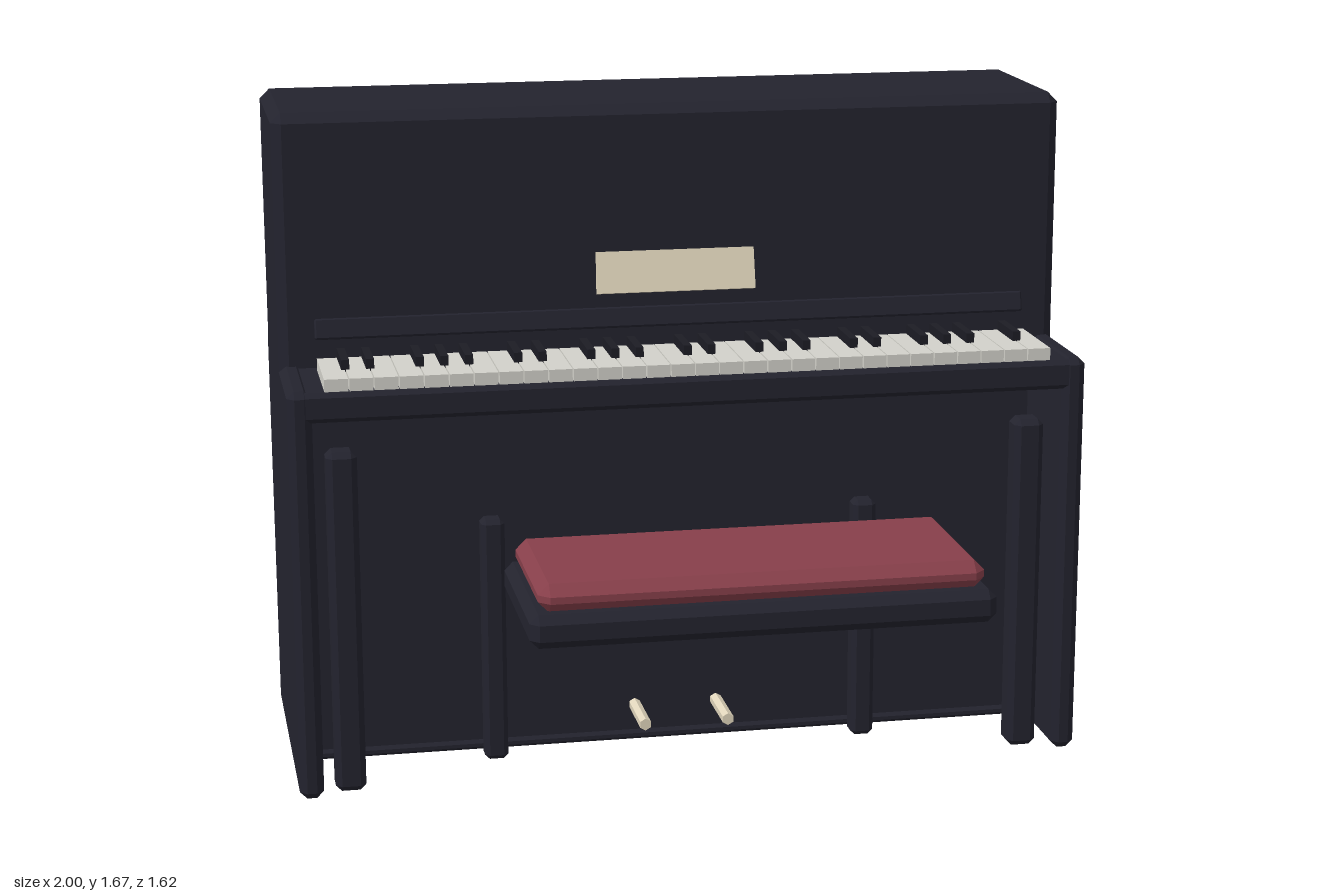
import * as THREE from 'three';
import { ConvexGeometry } from 'three/addons/geometries/ConvexGeometry.js';

const mat = (name, color) => new THREE.MeshStandardMaterial({ name, color });

// Box with flat chamfered edges, given by its min/max corners
function chamferBox(min, max, c) {
  const pts = [];
  for (const i of [0, 1]) for (const j of [0, 1]) for (const k of [0, 1]) {
    const side = [i, j, k];
    for (let axis = 0; axis < 3; axis++) {
      const p = side.map((s, a) => {
        const inset = a === axis ? 0 : c;
        return s ? max[a] - inset : min[a] + inset;
      });
      pts.push(new THREE.Vector3(...p));
    }
  }
  return new ConvexGeometry(pts);
}

function plainBox(min, max) {
  const g = new THREE.BoxGeometry(...max.map((m, i) => m - min[i]));
  return g.translate(...max.map((m, i) => (m + min[i]) / 2));
}

export function createModel() {
  const model = new THREE.Group();
  model.name = 'uprightPianoWithBench';
  const lacquer = mat('dark lacquer', 0x23232e);
  const ebony = mat('black key', 0x1c1c24);
  const ivory = mat('white key', 0xd2d1ca);
  const cream = mat('cream', 0xe0d5bb);
  const red = mat('red cushion', 0x873f4a);

  const add = (name, geometry, material, parent = model) => {
    const mesh = new THREE.Mesh(geometry, material);
    mesh.name = name;
    parent.add(mesh);
    return mesh;
  };

  // Case: upper cabinet, recessed lower box, side walls and rails
  const body = new THREE.Group();
  body.name = 'case';
  model.add(body);
  add('upperCabinet', chamferBox([-1, 0.98, -0.797], [1, 1.67, -0.303], 0.025), lacquer, body);
  add('lowerCabinet', plainBox([-0.96, 0.005, -0.795], [0.96, 1.0, -0.315]), lacquer, body);
  add('bottomBoard', chamferBox([-0.97, 0, -0.81], [0.97, 0.025, -0.305], 0.008), lacquer, body);
  add('backRail', chamferBox([-0.985, 0.96, -0.812], [0.985, 1.035, -0.72], 0.015), lacquer, body);
  add('keyBed', chamferBox([-0.985, 0.96, -0.35], [0.985, 1.035, -0.022], 0.012), lacquer, body);
  for (const s of [-1, 1]) {
    const x0 = s > 0 ? 0.94 : -1;
    add('sideWall', chamferBox([x0, 0, -0.812], [x0 + 0.06, 1.04, -0.02], 0.018), lacquer, body);
    const c = s * 0.87;
    add('frontColumn', chamferBox([c - 0.038, 0, -0.135], [c + 0.038, 0.875, -0.06], 0.015), lacquer, body);
  }

  // Keyboard: 30 white keys, black keys in repeating twos and threes
  const keyboard = new THREE.Group();
  keyboard.name = 'keyboard';
  model.add(keyboard);
  const count = 30, pitch = 1.82 / count;
  for (let k = 0; k < count; k++) {
    const x = -0.91 + k * pitch;
    add('whiteKey', plainBox([x + 0.0015, 1.03, -0.27], [x + pitch - 0.0015, 1.066, -0.035]), ivory, keyboard);
    if ([1, 2, 4, 5, 6].includes(k % 7)) {
      add('blackKey', plainBox([x - 0.01, 1.06, -0.27], [x + 0.01, 1.09, -0.133]), ebony, keyboard);
    }
  }

  // Tilted key cover and music sheet
  const cover = add('keyCover', chamferBox([-0.91, -0.026, -0.012], [0.91, 0.026, 0.012], 0.004), lacquer);
  cover.position.set(0, 1.132, -0.303);
  cover.rotation.x = -0.26;
  const sheet = add('musicSheet', new THREE.BoxGeometry(0.405, 0.105, 0.02), cream);
  sheet.position.set(0, 1.248, -0.299);
  sheet.rotation.x = -0.26;

  // Pedals
  for (const s of [-1, 1]) {
    const g = new THREE.CylinderGeometry(0.016, 0.016, 0.17, 6).toNonIndexed();
    g.computeVertexNormals();
    const pedal = add('pedal', g, cream);
    pedal.rotation.x = Math.PI / 2;
    pedal.position.set(s * 0.108, 0.095, -0.235);
  }

  // Bench: seat frame, cushion, and posts standing under the key bed
  const bench = new THREE.Group();
  bench.name = 'bench';
  model.add(bench);
  add('benchSeat', chamferBox([-0.533, 0.63, 0.354], [0.533, 0.708, 0.812], 0.02), lacquer, bench);
  add('benchCushion', chamferBox([-0.51, 0.704, 0.377], [0.51, 0.77, 0.79], 0.025), red, bench);
  for (const s of [-1, 1]) {
    const c = s * 0.483;
    add('benchPost', chamferBox([c - 0.03, 0, -0.28], [c + 0.03, 0.64, -0.22], 0.012), lacquer, bench);
  }
  return model;
}
